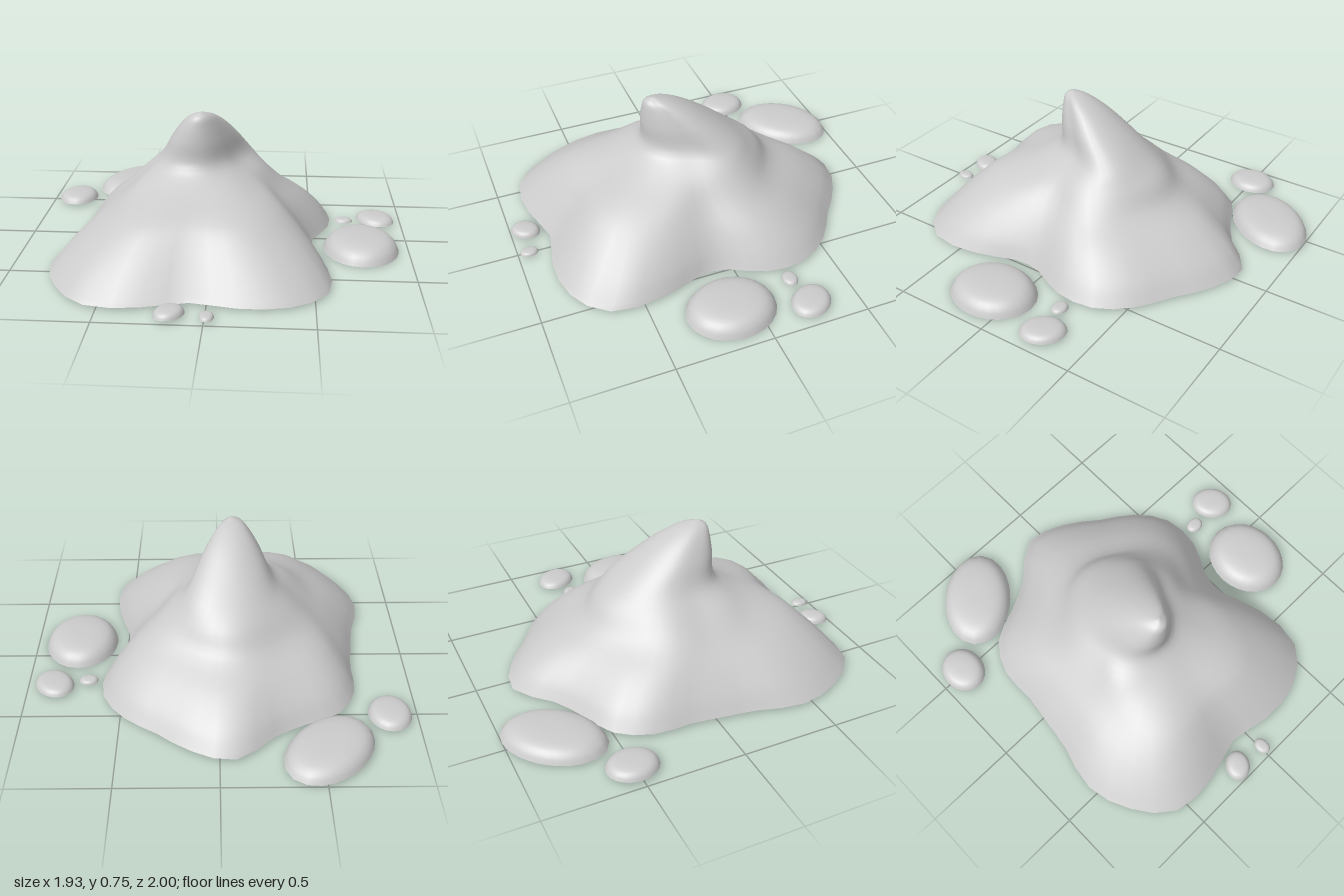
import * as THREE from 'three';
import { mergeVertices } from 'three/addons/utils/BufferGeometryUtils.js';

const material = new THREE.MeshStandardMaterial({ color: 0xcccccc, side: THREE.DoubleSide });

// Smooth closed outline through radii spread evenly around a circle (from +x towards +z)
const outline = (radii) => (t) => {
  const n = radii.length, i = Math.floor(t * n), u = t * n - i;
  const [a, b, c, d] = [-1, 0, 1, 2].map((k) => radii[(i + k + n) % n]);
  return b + 0.5 * u * (c - a + u * (2 * a - 5 * b + 4 * c - d + u * (3 * (b - c) + d - a)));
};
const blend = (f, g, w) => (t) => THREE.MathUtils.lerp(f(t), g(t), w);
const scaled = (f, s) => (t) => f(t) * s;

// Open-bottomed skin lofted through contour levels { y, x, z, radius(t) }
function loft(name, levels, columns, rows) {
  const positions = [], index = [];
  for (let c = 0; c < columns; c++) {
    const t = c / columns, angle = t * Math.PI * 2;
    const rib = new THREE.CatmullRomCurve3(levels.map(({ y, x, z, radius }) =>
      new THREE.Vector3(x + radius(t) * Math.cos(angle), y, z + radius(t) * Math.sin(angle))));
    for (let r = 0; r <= rows; r++) positions.push(...rib.getPoint(r / rows).toArray());
    for (let r = 0; r < rows; r++) {
      const a = c * (rows + 1) + r, b = ((c + 1) % columns) * (rows + 1) + r;
      index.push(a, a + 1, b);
      if (r < rows - 1) index.push(b, a + 1, b + 1);
    }
  }
  let geometry = new THREE.BufferGeometry();
  geometry.setAttribute('position', new THREE.Float32BufferAttribute(positions, 3));
  geometry.setIndex(index);
  geometry = mergeVertices(geometry, 1e-5);
  geometry.computeVertexNormals();
  const mesh = new THREE.Mesh(geometry, material);
  mesh.name = name;
  return mesh;
}

// Mound: lobed foot, broad shoulder, collar, and a summit that leans forward
function mound() {
  const foot = outline([0.59, 0.60, 0.75, 0.91, 0.92, 0.85, 0.78, 0.87, 0.96, 0.92, 0.84, 0.70,
    0.65, 0.65, 0.72, 0.75, 0.71, 0.73, 0.86, 0.83, 0.78, 0.79, 0.78, 0.70]);
  const shoulder = outline([0.38, 0.46, 0.55, 0.49, 0.57, 0.46, 0.40, 0.44, 0.45, 0.50, 0.48, 0.48]);
  const collar = outline([0.28, 0.27, 0.29, 0.29, 0.32, 0.34, 0.30, 0.34, 0.37, 0.42, 0.40, 0.36]);
  const summit = outline([0.19, 0.18, 0.21, 0.23, 0.22, 0.26, 0.30, 0.31]);
  return loft('mound', [
    { y: 0.015, x: -0.08, z: 0.03, radius: foot },
    { y: 0.10, x: -0.08, z: 0.03, radius: blend(foot, shoulder, 0.22) },
    { y: 0.20, x: -0.08, z: 0.05, radius: blend(foot, shoulder, 0.56) },
    { y: 0.30, x: -0.08, z: 0.08, radius: shoulder },
    { y: 0.40, x: -0.07, z: 0.08, radius: collar },
    { y: 0.48, x: -0.07, z: 0.06, radius: summit },
    { y: 0.60, x: -0.07, z: 0.12, radius: scaled(summit, 0.7) },
    { y: 0.68, x: -0.07, z: 0.165, radius: scaled(summit, 0.46) },
    { y: 0.73, x: -0.07, z: 0.20, radius: scaled(summit, 0.24) },
    { y: 0.753, x: -0.07, z: 0.21, radius: scaled(summit, 0) },
  ], 48, 36);
}

// Low oval drop with a rounded rim; turn swings its long axis from +x towards +z
function drop(name, x, z, rx, rz, height, turn = 0, floor = 0.015) {
  const oval = (t) => {
    const a = t * Math.PI * 2 - turn;
    return 1 / Math.hypot(Math.cos(a) / rx, Math.sin(a) / rz);
  };
  const rim = [1, 0.91, 0.74, 0.4, 0], rise = [0, 0.45, 0.8, 0.97, 1];
  const levels = rim.map((s, i) => ({ x, z, y: floor + rise[i] * height, radius: scaled(oval, s) }));
  return loft(name, levels, 24, 12);
}

export function createModel() {
  const group = new THREE.Group();
  group.name = 'splatteredMound';
  group.add(
    mound(),
    drop('largeBackDrop', -0.53, -0.77, 0.27, 0.185, 0.073, -0.83),
    drop('smallBackDrop', -0.86, -0.51, 0.11, 0.13, 0.045),
    drop('largeSideDrop', 0.755, 0.12, 0.195, 0.23, 0.085, 0, 0.003),
    drop('smallSideDrop', 0.86, -0.26, 0.115, 0.095, 0.037, 0.9),
    drop('tinySideDrop', 0.685, -0.23, 0.05, 0.04, 0.02),
    drop('smallFrontDrop', -0.16, 0.92, 0.08, 0.065, 0.033, -0.9),
    drop('tinyFrontDrop', 0.01, 0.94, 0.035, 0.047, 0.018),
  );
  return group;
}
